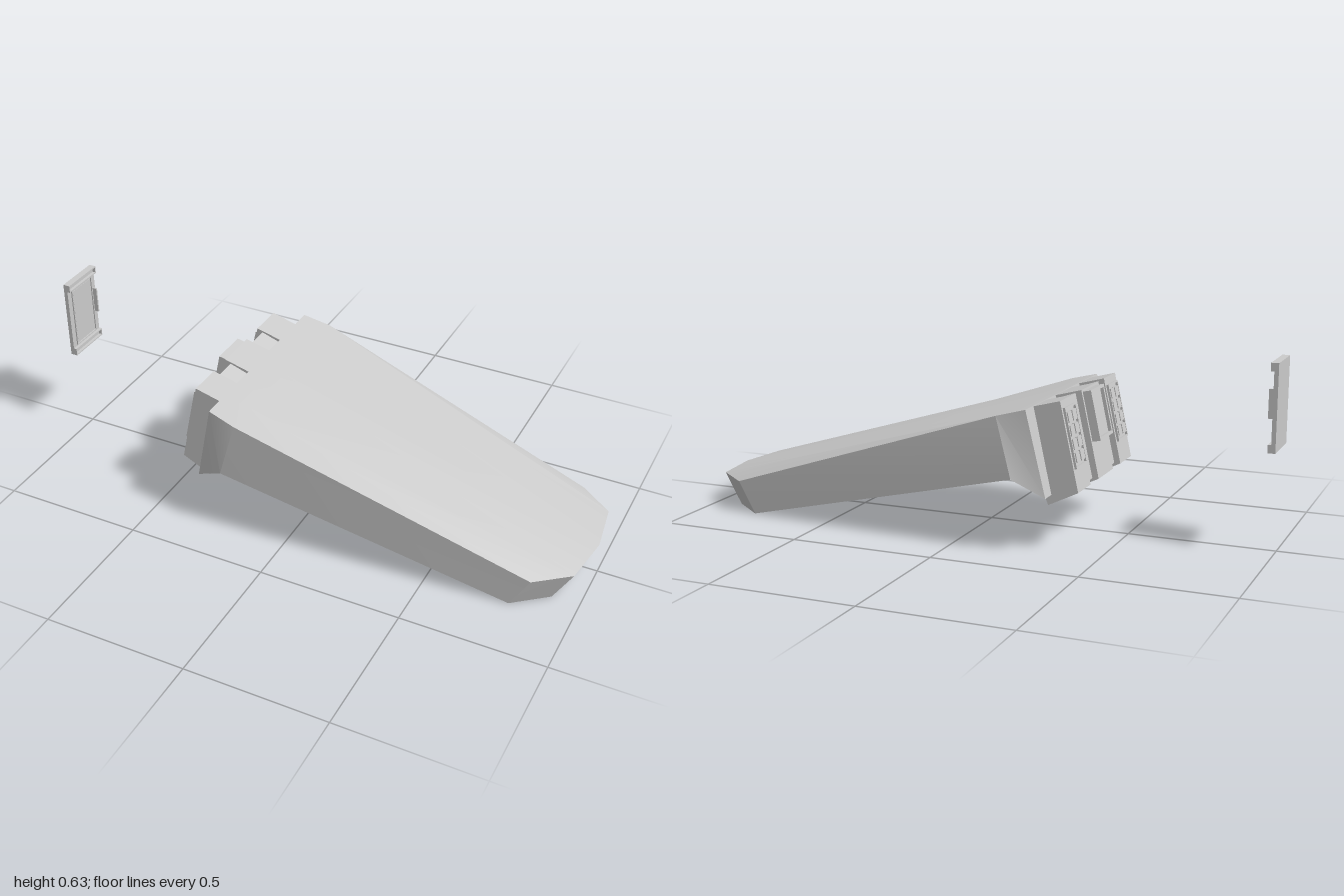
import * as THREE from 'three';
import { toCreasedNormals } from 'three/addons/utils/BufferGeometryUtils.js';

const mat = new THREE.MeshStandardMaterial({ color: 0xcccccc });

function add(parent, name, geo, x = 0, y = 0, z = 0) {
  const m = new THREE.Mesh(geo, mat);
  m.name = name;
  m.position.set(x, y, z);
  parent.add(m);
  return m;
}

function box(parent, name, w, h, d, x, y, z) {
  return add(parent, name, new THREE.BoxGeometry(w, h, d), x, y, z);
}

// Rectangular rim facing along x, centred on its own position
function frame(parent, name, depth, h, w, rim, x, y, z) {
  const rect = (T, a, b) => new T([[-a, -b], [a, -b], [a, b], [-a, b]].map(p => new THREE.Vector2(...p)));
  const s = rect(THREE.Shape, w / 2, h / 2);
  s.holes.push(rect(THREE.Path, w / 2 - rim, h / 2 - rim));
  const g = new THREE.ExtrudeGeometry(s, { depth, bevelEnabled: false });
  g.translate(0, 0, -depth / 2);
  g.rotateY(Math.PI / 2);
  return add(parent, name, g, x, y, z);
}

// Side profile in x and y, extruded from z0 to z1
function slab(parent, name, profile, z0, z1) {
  const g = new THREE.ExtrudeGeometry(new THREE.Shape(profile.map(p => new THREE.Vector2(...p))),
    { depth: z1 - z0, bevelEnabled: false });
  return add(parent, name, g, 0, 0, z0);
}

// Tapering hull: rings run rear end, shoulder, then the faceted nose
function hullGeometry() {
  const noseX = [0, 0.115, 0.14, 0.115, 0], noseT = [-1, -0.67, 0, 0.67, 1];
  const rows = [
    { top: [-0.262, 0.472, 0.345], low: [-0.326, 0.185, 0.33], bow: 0 },
    { top: [-0.165, 0.447, 0.357], low: [-0.22, 0.246, 0.365], bow: 0 },
    { top: [0.855, 0.11, 0.275], low: [0.79, 0, 0.28], bow: 1 },
  ];
  const rings = rows.map(({ top, low, bow }) => {
    const line = ([x, y, w]) => noseT.map((t, j) => [x + noseX[j] * bow, y, w * t]);
    return [...line(top), ...line(low).reverse()];
  });
  const pos = [], n = 10;
  const quad = (a, b, c, d) => pos.push(...a, ...b, ...c, ...a, ...c, ...d);
  for (let i = 0; i < 2; i++)
    for (let j = 0; j < n; j++) {
      const k = (j + 1) % n;
      quad(rings[i][j], rings[i][k], rings[i + 1][k], rings[i + 1][j]);
    }
  for (let j = 0; j < 4; j++) {
    const f = rings[2], r = rings[0];
    quad(f[j], f[j + 1], f[8 - j], f[9 - j]);
    quad(r[9 - j], r[8 - j], r[j + 1], r[j]);
  }
  const g = new THREE.BufferGeometry();
  g.setAttribute('position', new THREE.Float32BufferAttribute(pos, 3));
  return toCreasedNormals(g, 0.4);
}

export function createModel() {
  const model = new THREE.Group();
  add(model, 'hull', hullGeometry());

  // Rear blocks with lower, recessed blocks between them
  const block = [[-0.25, 0.467], [-0.352, 0.494], [-0.417, 0.2], [-0.315, 0.15], [-0.295, 0.2]];
  const recess = [[-0.25, 0.455], [-0.332, 0.483], [-0.395, 0.2], [-0.32, 0.168], [-0.295, 0.21]];
  slab(model, 'centreBlock', block, -0.075, 0.075);
  for (const s of [-1, 1]) {
    slab(model, 'sideBlock', block, s * 0.215 - 0.06, s * 0.215 + 0.06);
    slab(model, 'recessedBlock', recess, s * 0.115 - 0.04, s * 0.115 + 0.04);
  }

  // Fittings lying on the tilted rear face: local -x points outward
  const rear = new THREE.Group();
  rear.name = 'rearFittings';
  rear.position.set(-0.352, 0.494, 0);
  rear.rotation.z = -0.217;
  model.add(rear);
  box(rear, 'hatch', 0.018, 0.16, 0.12, -0.008, -0.092, 0);
  frame(rear, 'hatchFrame', 0.03, 0.17, 0.13, 0.01, -0.014, -0.092, 0);
  for (const s of [-1, 1]) {
    frame(rear, 'ventFrame', 0.008, 0.2, 0.1, 0.006, -0.004, -0.125, s * 0.215);
    for (let r = 0; r < 4; r++)
      for (let c = 0; c < 2; c++)
        box(rear, 'ventCell', 0.01, 0.034, 0.034, -0.004, -0.059 - r * 0.044, s * 0.215 - 0.021 + c * 0.042);
  }

  // Separate door panel
  const door = new THREE.Group();
  door.name = 'doorPanel';
  door.position.set(-1, 0.485, 0);
  model.add(door);
  box(door, 'doorPlate', 0.014, 0.288, 0.164, 0.007, 0, 0);
  for (const s of [-1, 1])
    frame(door, 'doorRail', 0.012, 0.027, 0.164, 0.004, 0.019, s * 0.1305, 0);
  frame(door, 'doorRim', 0.005, 0.224, 0.122, 0.004, 0.016, 0, 0);
  box(door, 'doorInset', 0.003, 0.21, 0.108, 0.015, 0, 0);
  box(door, 'doorHandle', 0.016, 0.095, 0.006, 0.022, 0.012, -0.069);
  return model;
}
